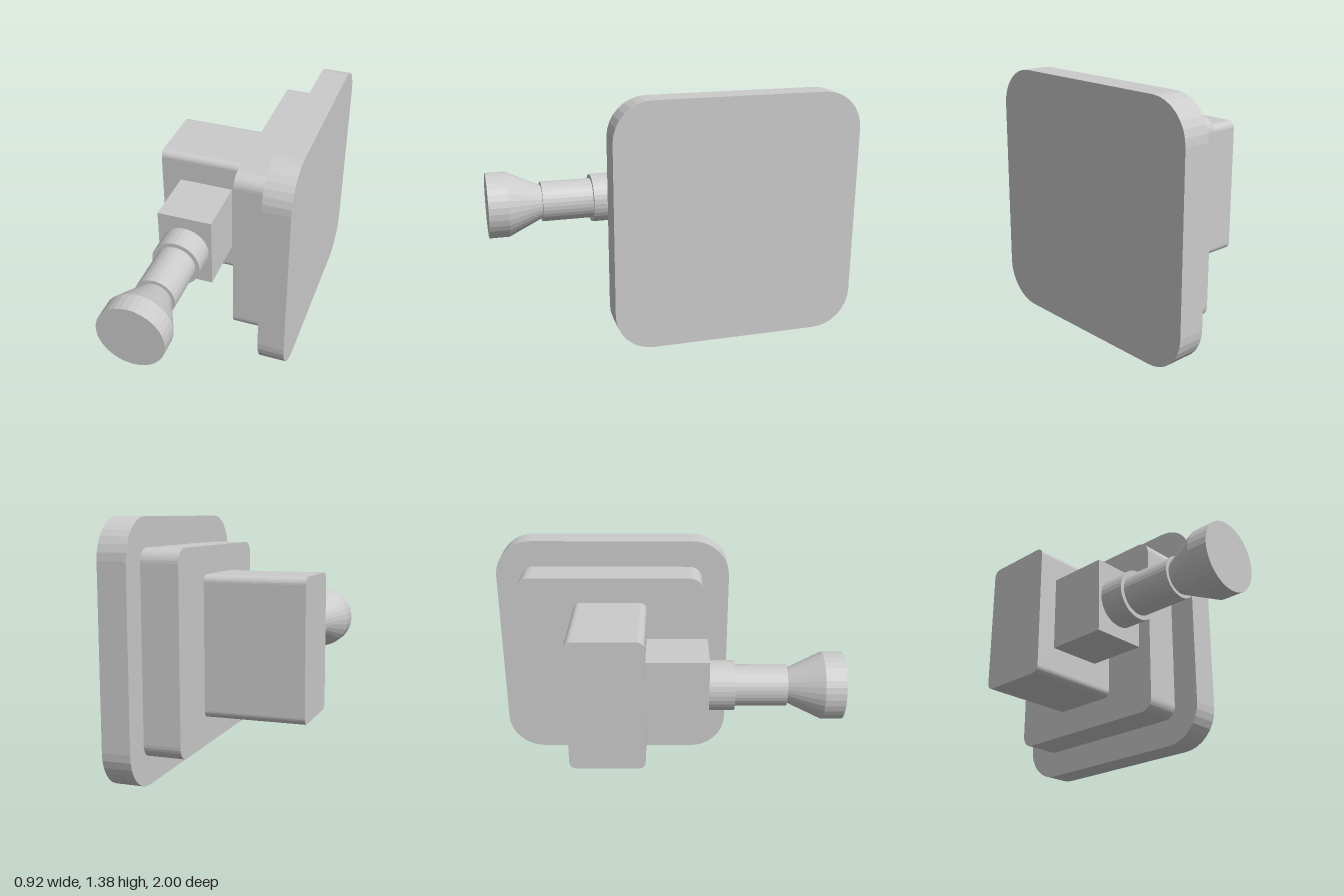
import * as THREE from 'three';

const material = new THREE.MeshStandardMaterial({ color: 0xcccccc, flatShading: true });

// Rounded rectangle in the z-y plane, extruded along x from x0 to x1
function roundedSlab(name, [x0, x1], [y0, y1], [z0, z1], r) {
  const a = -z1, b = -z0;
  const s = new THREE.Shape();
  s.absarc(b - r, y1 - r, r, 0, Math.PI / 2);
  s.absarc(a + r, y1 - r, r, Math.PI / 2, Math.PI);
  s.absarc(a + r, y0 + r, r, Math.PI, Math.PI * 1.5);
  s.absarc(b - r, y0 + r, r, Math.PI * 1.5, Math.PI * 2);
  s.closePath();
  const g = new THREE.ExtrudeGeometry(s, { depth: x1 - x0, bevelEnabled: false, curveSegments: 4 });
  g.rotateY(Math.PI / 2).translate(x0, 0, 0);
  const mesh = new THREE.Mesh(g, material);
  mesh.name = name;
  return mesh;
}

// Round section along z, radius r0 at z0 and r1 at z1
function roundSection(name, z0, z1, r0, r1 = r0) {
  const g = new THREE.CylinderGeometry(r1, r0, z1 - z0, 32);
  g.rotateX(Math.PI / 2).translate(0, 0, (z0 + z1) / 2);
  const mesh = new THREE.Mesh(g, material);
  mesh.name = name;
  return mesh;
}

export function createModel() {
  const model = new THREE.Group();
  model.name = 'wallMountedValve';

  // Stepped body: wall plate, middle plate and main block
  model.add(
    roundedSlab('wallPlate', [0.3, 0.457], [0, 1.385], [-1, 0.385], 0.215),
    roundedSlab('middlePlate', [0.095, 0.3], [0.155, 1.23], [-0.85, 0.225], 0.075),
    roundedSlab('mainBlock', [-0.46, 0.095], [0.31, 1.08], [-0.525, -0.1], 0.04)
  );

  // Handle pointing to the front
  const handle = new THREE.Group();
  handle.name = 'handle';
  handle.position.set(-0.185, 0.695, 0);
  const base = new THREE.Mesh(new THREE.BoxGeometry(0.32, 0.426, 0.35), material);
  base.name = 'handleBase';
  base.position.z = 0.075;
  handle.add(
    base,
    roundSection('collar', 0.25, 0.395, 0.142),
    roundSection('stem', 0.395, 0.688, 0.117),
    roundSection('knobFlare', 0.688, 0.885, 0.097, 0.19),
    roundSection('knob', 0.885, 1, 0.19)
  );
  model.add(handle);
  return model;
}
